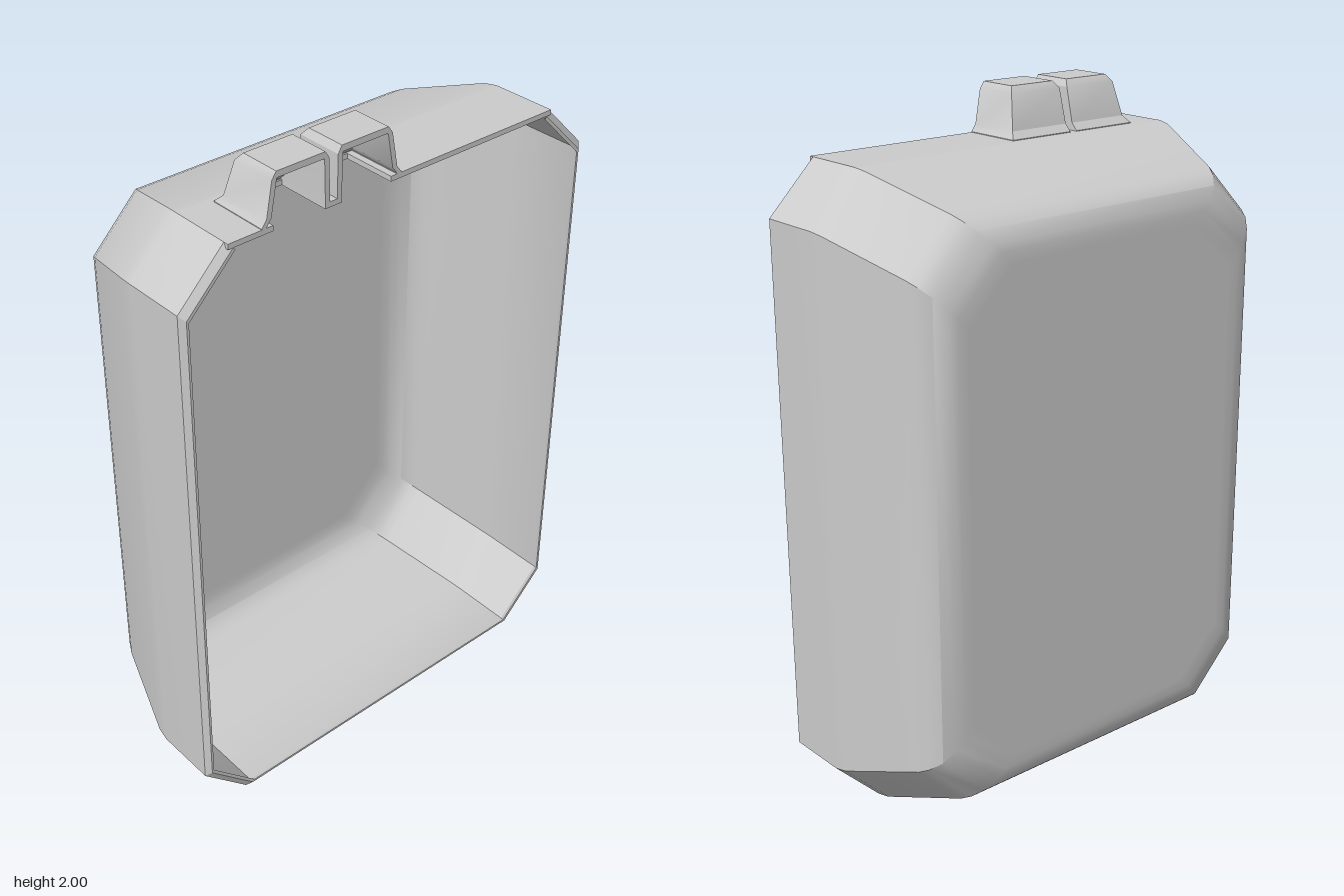
import * as THREE from 'three';
import { toCreasedNormals } from 'three/addons/utils/BufferGeometryUtils.js';

const HY = 0.93, HZ = 0.695, CUT = 0.145; // half height, half width, corner chamfer
const RIM = 0.285, WALL = 0.015, GAP_Z = 0.223;

const material = new THREE.MeshStandardMaterial({ color: 0xcccccc, side: THREE.DoubleSide });

// Skin a list of closed rings; skip(i, k) leaves out single quads
function loft(rings, skip = () => false) {
  const pos = [];
  const n = rings[0].length;
  for (let i = 0; i < rings.length - 1; i++) {
    for (let k = 0; k < n; k++) {
      if (skip(i, k)) continue;
      const a = rings[i][k], b = rings[i][(k + 1) % n];
      const c = rings[i + 1][(k + 1) % n], d = rings[i + 1][k];
      pos.push(...a, ...b, ...c, ...a, ...c, ...d);
    }
  }
  const g = new THREE.BufferGeometry();
  g.setAttribute('position', new THREE.Float32BufferAttribute(pos, 3));
  return toCreasedNormals(g, 0.5);
}

function addMesh(parent, name, geometry) {
  const mesh = new THREE.Mesh(geometry, material);
  mesh.name = name;
  parent.add(mesh);
  return mesh;
}

// Chamfered rectangle at depth x, inset from the widest outline
function octagon(x, inset) {
  const y = HY - inset, z = HZ - inset;
  return [
    [y, z - CUT], [y, CUT - z], [y - CUT, -z], [CUT - y, -z],
    [-y, CUT - z], [-y, z - CUT], [CUT - y, z], [y - CUT, z],
  ].map(([py, pz]) => [x, HY + py, pz]);
}

// Hollow shell: inner floor, inner wall, rim, outer wall, outer floor
function shell() {
  const profile = [
    [-0.275, 0.235], [-0.275, 0.2], [-0.268, 0.175], [-0.25, 0.14], [-0.225, 0.115], [-0.195, 0.1],
    [0.04, 0.021], [0.08, 0.015], [0.27, 0.015], [RIM, 0.022],
    [RIM, 0.015], [0.27, 0], [0.08, 0], [0.04, 0.006],
    [-0.205, 0.085], [-0.235, 0.1], [-0.265, 0.125], [-0.284, 0.16], [-0.29, 0.185], [-0.29, 0.22],
  ];
  const centre = (x) => Array.from({ length: 8 }, () => [x, HY, 0]);
  const rings = [centre(-0.275), ...profile.map(([x, d]) => octagon(x, d)), centre(-0.29)];
  // the straight part of the top wall is a separate notched panel
  return loft(rings, (i, k) => k === 0 && rings[i][0][0] >= 0.08 && rings[i + 1][0][0] >= 0.08);
}

// Top wall with two notches that open into the hollow tabs
function topPanel() {
  const w = HZ - CUT;
  const shape = new THREE.Shape();
  shape.moveTo(0.08, -w);
  shape.lineTo(RIM, -w);
  for (const s of [-1, 1]) {
    const [u0, u1] = s < 0 ? [-0.19, -0.027] : [0.027, 0.19];
    shape.lineTo(RIM, GAP_Z + u0);
    shape.lineTo(0.12, GAP_Z + u0);
    shape.lineTo(0.12, GAP_Z + u1);
    shape.lineTo(RIM, GAP_Z + u1);
  }
  shape.lineTo(RIM, w);
  shape.lineTo(0.08, w);
  const g = new THREE.ExtrudeGeometry(shape, { depth: WALL, bevelEnabled: false });
  return g.rotateX(Math.PI / 2).translate(0, 2 * HY, 0);
}

// Hollow tapered tab, open toward the rim; side picks its side of the gap
function tab(side) {
  // height, back edge, near side and far side measured from the gap centre
  const levels = [
    [1.85, 0.1, 0.012, 0.225], [1.862, 0.1, 0.012, 0.225], [1.882, 0.12, 0.012, 0.21],
    [1.98, 0.145, 0.014, 0.192], [2, 0.162, 0.026, 0.178],
  ];
  const rings = levels.map(([y, x, u0, u1]) => {
    const ring = [
      [RIM, u0], [x, u0], [x, u1], [RIM, u1],
      [RIM, u1 - WALL], [x + WALL, u1 - WALL], [x + WALL, u0 + WALL], [RIM, u0 + WALL],
    ].map(([px, u]) => [px, y, GAP_Z + side * u]);
    return side > 0 ? ring : ring.reverse();
  });
  const group = new THREE.Group();
  addMesh(group, 'tabWalls', loft(rings));
  const [, x, u0, u1] = levels[levels.length - 1];
  const lid = addMesh(group, 'tabLid', new THREE.BoxGeometry(RIM - x, 0.018, u1 - u0));
  lid.position.set((RIM + x) / 2, 1.991, GAP_Z + side * (u0 + u1) / 2);
  return group;
}

export function createModel() {
  const model = new THREE.Group();
  model.name = 'casing';
  addMesh(model, 'shell', shell());
  addMesh(model, 'topPanel', topPanel());
  for (const side of [1, -1]) {
    const t = tab(side);
    t.name = side > 0 ? 'frontTab' : 'rearTab';
    model.add(t);
  }
  return model;
}
